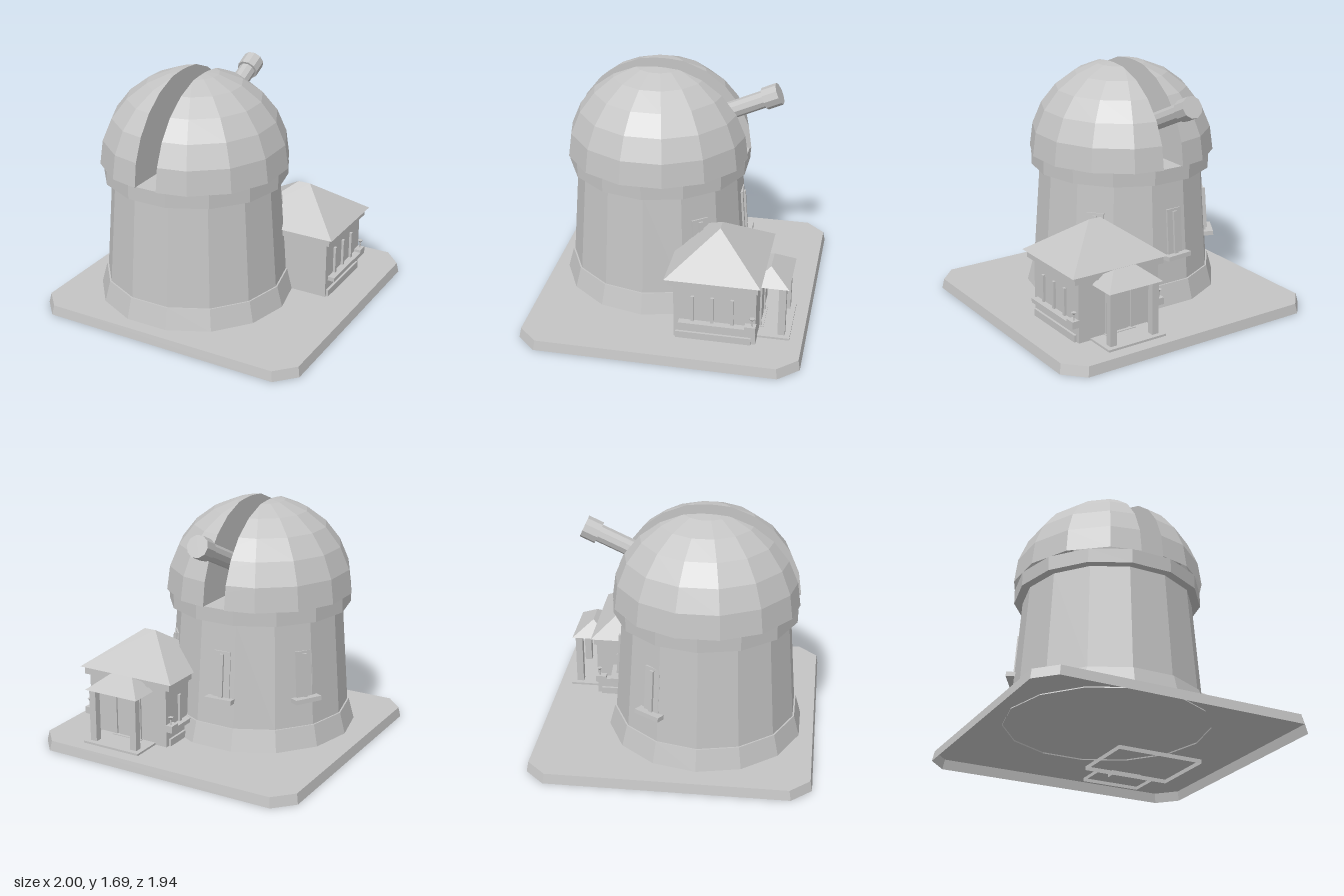
import * as THREE from 'three';

const stone = new THREE.MeshStandardMaterial({
  color: 0xc4c4c4, flatShading: true, side: THREE.DoubleSide,
});
stone.name = 'paleGreyStone';

function add(parent, name, geometry, x = 0, y = 0, z = 0) {
  const mesh = new THREE.Mesh(geometry, stone);
  mesh.name = name;
  mesh.position.set(x, y, z);
  parent.add(mesh);
  return mesh;
}

// Box given by its limits on each axis
function block(parent, name, x0, x1, y0, y1, z0, z1) {
  return add(parent, name, new THREE.BoxGeometry(x1 - x0, y1 - y0, z1 - z0),
    (x0 + x1) / 2, (y0 + y1) / 2, (z0 + z1) / 2);
}

// The same box without its bottom face
function openBlock(...args) {
  const g = block(...args).geometry;
  const index = [...g.index.array];
  index.splice(18, 6);
  g.setIndex(index);
  g.clearGroups();
}

// Hip roof: a box whose top is pinched to a ridge along x
function hipRoof(parent, name, w, h, d, ridge, x, y, z) {
  const g = new THREE.BoxGeometry(w, h, d);
  const p = g.attributes.position;
  for (let i = 0; i < p.count; i++) {
    if (p.getY(i) > 0) p.setXYZ(i, Math.sign(p.getX(i)) * ridge / 2, h / 2, 0);
  }
  g.computeVertexNormals();
  return add(parent, name, g, x, y + h / 2, z);
}

// Fourteen-sided shell with a corner on +x, from [radius, height] points
function shell(parent, name, profile) {
  const points = profile.map(([r, y]) => new THREE.Vector2(r, y));
  return add(parent, name, new THREE.LatheGeometry(points, 14).rotateY(Math.PI / 2));
}

// Half of the dome, cut flat at distance gap from the middle
function domeHalf(radius, height, gap, side) {
  const p = new THREE.SphereGeometry(radius, 14, 6, 0, Math.PI * 2, 0, Math.PI / 2)
    .scale(1, height / radius, 1).rotateY(Math.PI / 2).toNonIndexed().attributes.position;
  const out = [], rim = [];
  const dist = (v) => v.x * side - gap;
  for (let i = 0; i < p.count; i += 3) {
    const tri = [0, 1, 2].map((k) => new THREE.Vector3().fromBufferAttribute(p, i + k));
    const poly = [];
    tri.forEach((a, k) => {
      const b = tri[(k + 1) % 3], da = dist(a), db = dist(b);
      if (da >= 0) poly.push(a);
      if (da * db < 0) {
        const c = a.clone().lerp(b, da / (da - db));
        poly.push(c);
        rim.push(c);
      }
    });
    for (let k = 1; k + 1 < poly.length; k++) out.push(poly[0], poly[k], poly[k + 1]);
  }
  // Flat wall of the slot
  rim.sort((a, b) => Math.atan2(a.y, a.z) - Math.atan2(b.y, b.z));
  const centre = new THREE.Vector3(side * gap, 0, 0);
  for (let k = 0; k + 1 < rim.length; k++) {
    if (side > 0) out.push(centre, rim[k], rim[k + 1]);
    else out.push(centre, rim[k + 1], rim[k]);
  }
  const g = new THREE.BufferGeometry().setFromPoints(out);
  g.computeVertexNormals();
  return g;
}

function buildBase(model) {
  // Chamfered slab, open underneath and slightly narrower at the top
  const pts = [[1, 0.835], [0.872, 0.972], [-0.872, 0.972], [-1, 0.835],
    [-1, -0.835], [-0.872, -0.972], [0.872, -0.972], [1, -0.835]];
  const inset = 0.987, height = 0.07;
  const shape = new THREE.Shape(pts.map(([x, z]) => new THREE.Vector2(x * inset, z * inset)));
  add(model, 'baseTop', new THREE.ShapeGeometry(shape).rotateX(-Math.PI / 2), 0, height, 0);
  const sides = [];
  pts.forEach(([ax, az], i) => {
    const [bx, bz] = pts[(i + 1) % pts.length];
    const a = new THREE.Vector3(ax, 0, az), b = new THREE.Vector3(bx, 0, bz);
    const c = new THREE.Vector3(bx * inset, height, bz * inset);
    const d = new THREE.Vector3(ax * inset, height, az * inset);
    sides.push(a, c, b, a, d, c);
  });
  const rim = new THREE.BufferGeometry().setFromPoints(sides);
  rim.computeVertexNormals();
  add(model, 'baseRim', rim);
}

function buildTower(model) {
  const tower = new THREE.Group();
  tower.name = 'tower';
  tower.position.set(-0.153, 0, 0.186);
  model.add(tower);

  shell(tower, 'towerFoot', [[0.694, 0.062], [0.652, 0.22], [0.641, 0.22]]);
  shell(tower, 'towerWall', [[0.641, 0.22], [0.587, 0.96]]);
  shell(tower, 'domeRing', [[0.587, 0.96], [0.645, 0.96], [0.645, 1.06], [0, 1.06]]);
  for (const side of [1, -1]) {
    add(tower, side > 0 ? 'domeLeft' : 'domeRight', domeHalf(0.66, 0.647, 0.081, side), 0, 1.058, 0);
  }

  // Slit windows around the back of the tower
  for (const degrees of [211, 266, 321]) {
    const pivot = new THREE.Group();
    pivot.name = 'towerWindow';
    pivot.rotation.y = -degrees * Math.PI / 180;
    tower.add(pivot);
    const leaf = new THREE.Group();
    leaf.name = 'windowLeaf';
    leaf.position.set(0.607, 0.585, 0);
    leaf.rotation.z = 0.072;
    pivot.add(leaf);
    block(leaf, 'windowPanel', -0.04, 0.004, -0.16, 0.168, -0.062, 0.062);
    block(leaf, 'windowBar', 0, 0.02, -0.16, 0.15, -0.015, 0.015);
    block(leaf, 'windowSill', -0.04, 0.055, -0.187, -0.155, -0.1, 0.1);
  }

  // Telescope pointing up through the slot to the back
  const scope = new THREE.Group();
  scope.name = 'telescope';
  scope.position.set(0, 1.175, -0.06);
  scope.rotation.x = -(Math.PI / 2 - 0.43);
  tower.add(scope);
  add(scope, 'telescopeTube',
    new THREE.CylinderGeometry(0.061, 0.061, 0.8, 10).rotateY(Math.PI / 2), 0, 0.4, 0);
  add(scope, 'telescopeHead',
    new THREE.CylinderGeometry(0.078, 0.078, 0.11, 10).rotateY(Math.PI / 2), 0, 0.8, 0);
}

function buildHouse(model) {
  const house = new THREE.Group();
  house.name = 'house';
  house.position.set(0.425, 0, -0.358);
  model.add(house);

  openBlock(house, 'houseWalls', -0.315, 0.315, 0.07, 0.5, -0.292, 0.27);
  openBlock(house, 'housePlinth', -0.332, 0.332, 0.04, 0.12, -0.262, 0.255);
  block(house, 'eavesBand', -0.35, 0.35, 0.49, 0.545, -0.305, 0.305);
  hipRoof(house, 'houseRoof', 0.75, 0.245, 0.65, 0.09, 0, 0.545, 0);

  // Side windows, sills and little plants
  for (const s of [1, -1]) {
    const strip = (name, a, b, y0, y1, z0, z1) =>
      block(house, name, Math.min(s * a, s * b), Math.max(s * a, s * b), y0, y1, z0, z1);
    for (const z of [0.138, 0.003, -0.132]) {
      strip('sideWindowBar', 0.3, 0.333, 0.215, 0.41, z - 0.011, z + 0.011);
    }
    strip('sideSill', 0.3, 0.365, 0.185, 0.215, -0.292, 0.23);
    strip('planter', 0.31, 0.365, 0.185, 0.235, -0.297, -0.222);
    add(house, 'plantStem', new THREE.CylinderGeometry(0.006, 0.006, 0.05, 5), s * 0.34, 0.255, -0.272);
    add(house, 'plantLeaves', new THREE.ConeGeometry(0.02, 0.025, 5).rotateX(Math.PI), s * 0.34, 0.28, -0.272);
  }

  // Back door with slim bars beside it
  block(house, 'door', -0.065, 0.065, 0.08, 0.4, -0.298, -0.28);
  for (const x of [-0.1, 0.1]) {
    block(house, 'doorSideBar', x - 0.012, x + 0.012, 0.08, 0.42, -0.305, -0.28);
  }
  block(house, 'doorStep', -0.12, 0.12, 0.035, 0.09, -0.32, -0.25);

  // Porch
  const porch = new THREE.Group();
  porch.name = 'porch';
  house.add(porch);
  openBlock(porch, 'porchFloor', -0.225, 0.225, 0.045, 0.085, -0.512, -0.28);
  for (const x of [-0.165, 0.165]) {
    block(porch, 'porchPost', x - 0.025, x + 0.025, 0.08, 0.47, -0.477, -0.427);
  }
  hipRoof(porch, 'porchRoof', 0.42, 0.1, 0.28, 0.17, 0, 0.46, -0.357);
}

export function createModel() {
  const model = new THREE.Group();
  model.name = 'observatory';
  buildBase(model);
  buildTower(model);
  buildHouse(model);
  return model;
}
